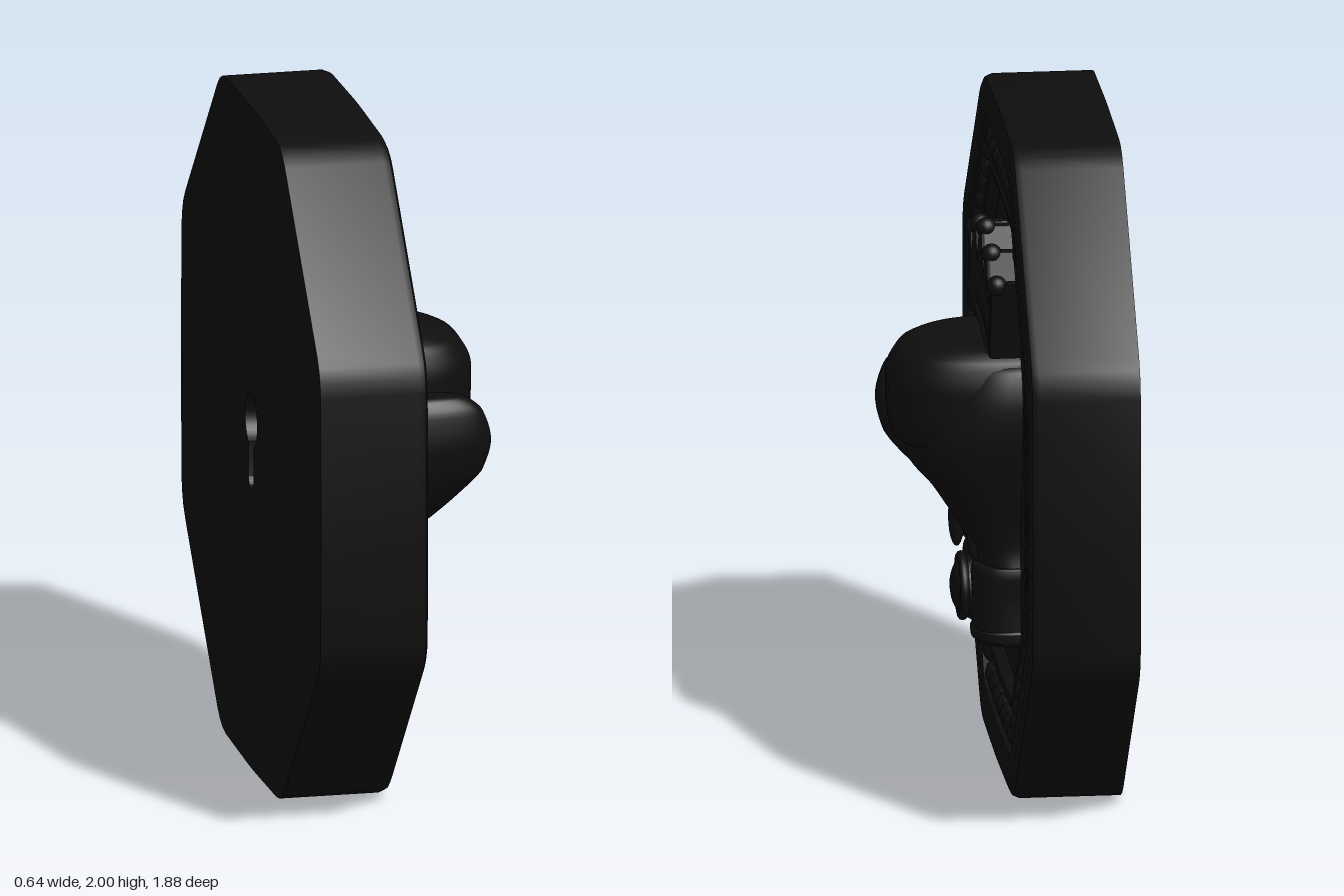
import * as THREE from 'three';
import { toCreasedNormals } from 'three/addons/utils/BufferGeometryUtils.js';

const V = (x, y, z) => new THREE.Vector3(x, y, z);
const FIELD = -0.05; // depth of the recessed field

// Surface through equal-length rows of points
function grid(rows) {
  const n = rows[0].length, index = [];
  for (let i = 0; i < rows.length - 1; i++)
    for (let j = 0; j < n - 1; j++) {
      const a = i * n + j, c = a + n;
      index.push(a, a + 1, c + 1, a, c + 1, c);
    }
  const g = new THREE.BufferGeometry().setFromPoints(rows.flat());
  g.setIndex(index);
  g.computeVertexNormals();
  return g;
}

// Octagon corners, inset by d
function corners(d) {
  const tx = 0.405 - 0.41 * d, ty = 0.99 - d, sx = 0.93 - d, sy = 0.445 - 0.41 * d;
  return [[0.94 - d, 0], [sx, sy], [tx, ty], [0, 1 - d], [-tx, ty], [-sx, sy],
    [d - 0.94, 0], [-sx, -sy], [-tx, -ty], [0, d - 1], [tx, -ty], [sx, -sy]]
    .map(p => new THREE.Vector2(p[0], p[1] + 1));
}

// Octagon with softened corners
function outline(d) {
  const c = corners(d), cut = 0.07 * (1 - 2.4 * d), out = [];
  c.forEach((p, i) => {
    const toward = q => q.clone().sub(p).setLength(cut).add(p);
    const curve = new THREE.QuadraticBezierCurve(
      toward(c[(i + 11) % 12]), p, toward(c[(i + 1) % 12]));
    out.push(...curve.getPoints(3));
  });
  return out;
}

const ring = (pts, w) => [...pts, pts[0]].map(p => V(p.x, p.y, w));
const collapse = (pts, y, w) => ring(pts, 0).map(() => V(0, y, w));

// Domed relief lofted from [y, centre, half width, height], top to bottom
function relief(stations, power = 0.8) {
  const shape = new THREE.CatmullRomCurve3(stations.map(s => V(s[1], s[2], s[3])));
  const rise = new THREE.CatmullRomCurve3(stations.map(s => V(s[0], 0, 0)));
  const rows = [], steps = stations.length * 5;
  for (let i = 0; i <= steps; i++) {
    const s = shape.getPoint(i / steps), y = rise.getPoint(i / steps).x, row = [];
    for (let j = 0; j <= 28; j++) {
      const a = Math.PI * j / 28, co = Math.cos(a), si = Math.max(0, Math.sin(a));
      row.push(V(s.x + s.y * Math.sign(co) * Math.abs(co) ** power, y,
        FIELD + (s.z - FIELD) * si ** power));
    }
    rows.push(row);
  }
  return grid(rows);
}

export function createModel() {
  const model = new THREE.Group();
  model.name = 'medallion';
  model.rotation.y = Math.PI / 2; // the decorated face looks along +x
  const black = new THREE.MeshStandardMaterial({ color: 0x0e0e0e });
  black.name = 'black';
  const add = (name, geo, x = 0, y = 0, z = 0) => {
    const m = new THREE.Mesh(geo, black);
    m.name = name;
    m.position.set(x, y, z);
    model.add(m);
    return m;
  };

  // Slab: rounded rim, bead channel, inner ridge and field
  const profile = [[0, -0.325], [0, -0.03], [0.008, -0.01], [0.03, 0], [0.1, 0], [0.115, -0.008],
    [0.125, FIELD], [0.235, FIELD], [0.242, -0.02], [0.255, -0.012], [0.272, -0.016], [0.285, FIELD]];
  const rows = profile.map(([d, w]) => ring(outline(d), w));
  rows.push(collapse(outline(0), 1, FIELD));
  add('slab', toCreasedNormals(grid(rows), 0.7));

  // Back plate with a keyhole pocket
  const key = new THREE.Path();
  key.absarc(0, 1.05, 0.08, -1.12, Math.PI + 1.12, false);
  key.lineTo(-0.035, 0.88);
  key.absarc(0, 0.88, 0.035, Math.PI, Math.PI * 2, false);
  const back = new THREE.Shape(outline(0));
  back.holes.push(key);
  add('backPlate', new THREE.ShapeGeometry(back, 16), 0, 0, -0.325).rotation.y = Math.PI;
  const hole = key.getPoints(16).reverse();
  add('hangingPocket', toCreasedNormals(
    grid([ring(hole, -0.325), ring(hole, -0.2), collapse(hole, 1.02, -0.2)]), 0.6));

  // Beads around the channel
  const path = new THREE.CurvePath(), c = corners(0.18);
  c.forEach((p, i) => {
    const q = c[(i + 1) % 12];
    path.add(new THREE.LineCurve3(V(p.x, p.y, 0), V(q.x, q.y, 0)));
  });
  const bead = new THREE.SphereGeometry(0.049, 16, 12);
  for (let i = 0; i < 52; i++) {
    const p = path.getPointAt(i / 52);
    add('bead', bead, p.x, p.y, FIELD);
  }

  // Glove: palm, curled fingers and thumb
  add('palm', relief([[1.31, 0.03, 0.1, 0], [1.27, 0.03, 0.22, 0.13], [1.17, 0.03, 0.255, 0.2],
    [1.03, 0.03, 0.25, 0.27], [0.96, 0.025, 0.24, 0.26], [0.88, 0.015, 0.23, 0.195],
    [0.78, 0.01, 0.21, 0.13], [0.7, 0.01, 0.205, 0.085], [0.64, 0.015, 0.215, 0.07]]));
  add('fingers', relief([[1.325, 0.01, 0.01, FIELD], [1.32, 0.01, 0.17, 0.19], [1.285, 0.01, 0.225, 0.28],
    [1.2, 0.01, 0.245, 0.32], [1.1, 0.01, 0.245, 0.318], [1.03, 0.01, 0.225, 0.305],
    [1.005, 0.01, 0.17, 0.25], [1.0, 0.01, 0.01, FIELD]], 0.72));
  add('thumb', relief([[1.195, -0.32, 0.005, FIELD], [1.185, -0.32, 0.05, 0.22], [1.14, -0.315, 0.08, 0.29],
    [1.04, -0.295, 0.11, 0.32], [0.95, -0.27, 0.12, 0.3], [0.86, -0.24, 0.11, 0.22],
    [0.77, -0.215, 0.07, 0.12], [0.69, -0.19, 0.01, FIELD]], 0.75));
  // Crease where the thumb meets the palm
  add('thumbSeam', new THREE.TubeGeometry(new THREE.CatmullRomCurve3([
    V(-0.18, 1.0, 0.2), V(-0.13, 0.92, 0.19), V(-0.15, 0.82, 0.13), V(-0.19, 0.72, 0.03)]), 24, 0.018, 8));

  // Lacing tab and wrist folds
  for (const [x, y, rx, ry, w] of [[0.015, 0.77, 0.026, 0.095, 0.13],
    [-0.1, 0.73, 0.016, 0.07, 0.085], [0.12, 0.73, 0.016, 0.07, 0.085]])
    add('wristFold', new THREE.SphereGeometry(1, 16, 12), x, y, w - 0.015).scale.set(rx, ry, 0.025);

  // Cuff in two rolls with raised hems
  for (const x of [-0.09, 0.13]) {
    add('cuff', relief([[0.665, x, 0.09, FIELD], [0.66, x, 0.1, 0.075], [0.63, x, 0.105, 0.085],
      [0.55, x, 0.1, 0.08], [0.46, x, 0.103, 0.08], [0.425, x, 0.095, 0.065], [0.42, x, 0.08, FIELD]]));
    add('cuffHem', relief([[0.475, x, 0.1, 0.05], [0.465, x, 0.108, 0.087],
      [0.44, x, 0.108, 0.085], [0.43, x, 0.1, 0.05]]));
  }

  // Round badge on the cuff
  add('badge', new THREE.SphereGeometry(0.085, 24, 16), 0.015, 0.555, 0.09).scale.z = 0.53;
  add('badgeRim', new THREE.TorusGeometry(0.088, 0.014, 10, 32), 0.015, 0.555, 0.1);
  add('badgeBase', new THREE.CylinderGeometry(0.09, 0.09, 0.08, 32), 0.015, 0.555, 0.06)
    .rotation.x = Math.PI / 2;

  // Crown: five points, tip balls and a curved band
  const tips = [[-0.3, 1.545], [-0.155, 1.6], [0.005, 1.635], [0.155, 1.6], [0.295, 1.545]];
  const crown = new THREE.Shape();
  crown.moveTo(-0.23, 1.32);
  crown.quadraticCurveTo(0.005, 1.43, 0.245, 1.32);
  for (let i = 4; i >= 0; i--) {
    const [x, y] = tips[i];
    crown.lineTo(x + 0.012, y);
    crown.lineTo(x - 0.012, y);
    if (i) crown.lineTo((x + tips[i - 1][0]) / 2, (y + tips[i - 1][1]) / 2 - 0.11);
  }
  add('crown', new THREE.ExtrudeGeometry(crown, {
    depth: 0.085, bevelSize: 0.008, bevelThickness: 0.012, bevelSegments: 2, curveSegments: 16
  }), 0, 0, FIELD);
  for (const [x, y] of tips)
    add('crownBall', new THREE.SphereGeometry(0.03, 16, 12), x, y, 0.028);
  for (const [y, r] of [[1.325, 0.018], [1.365, 0.012]])
    add('crownBand', new THREE.TubeGeometry(new THREE.QuadraticBezierCurve3(
      V(-0.235, y, 0.035), V(0.005, y + 0.1, 0.045), V(0.25, y, 0.035)), 24, r, 10));

  const root = new THREE.Group();
  root.name = 'gloveMedallion';
  root.add(model);
  return root;
}
